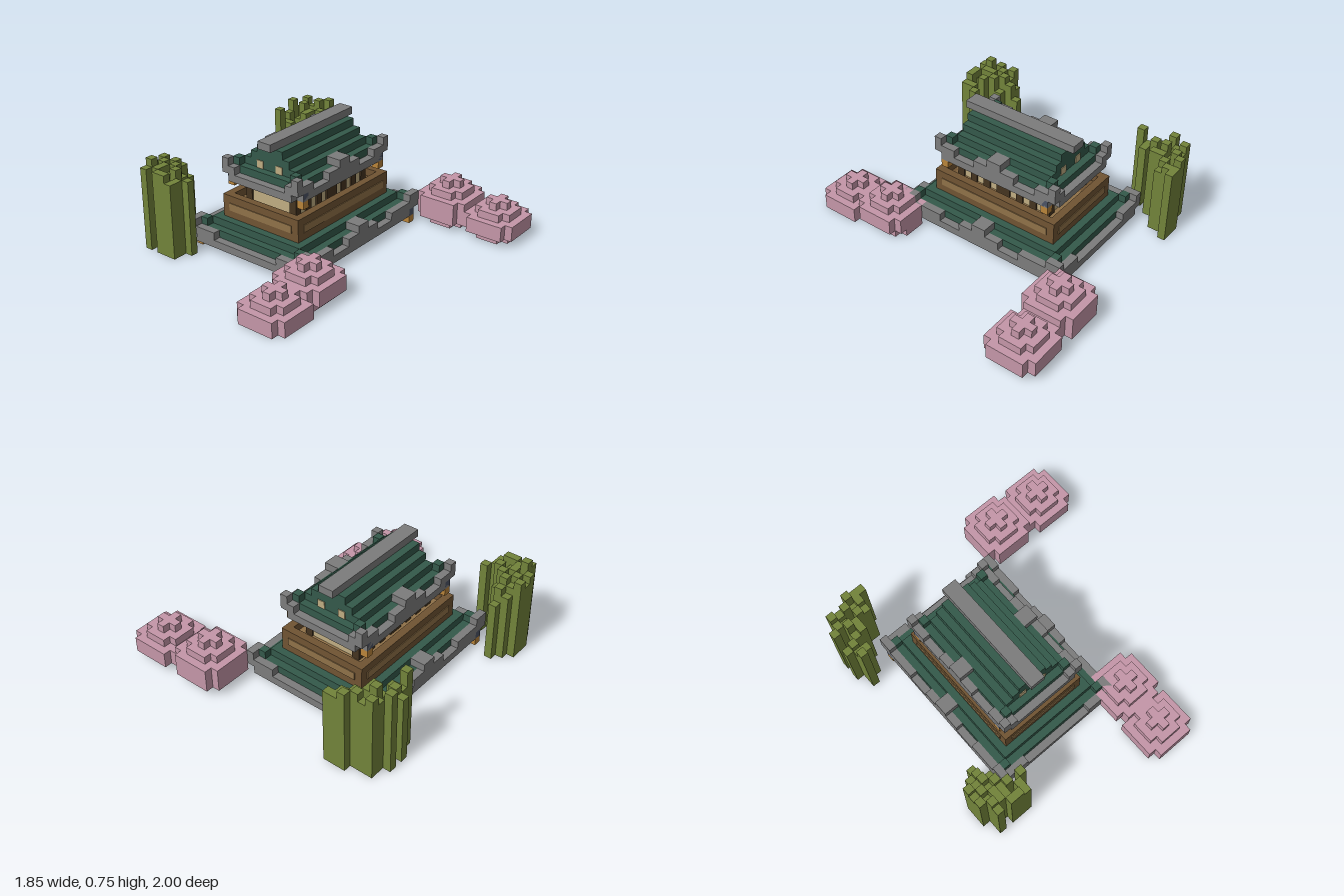
import * as THREE from 'three';

const V = 0.05; // edge of one block
const mat = (name, color) => Object.assign(new THREE.MeshStandardMaterial({ color }), { name });

export function createModel() {
  const M = {
    tile: mat('roof green', 0x34594a), stone: mat('stone grey', 0x7c7c7c),
    bamboo: mat('bamboo green', 0x72833a), dark: mat('dark timber', 0x453420),
    wood: mat('brown timber', 0x705433), tan: mat('tan timber', 0x8f7148),
    plaster: mat('cream plaster', 0xbfad82), lamp: mat('lamp orange', 0xb9843a),
    slate: mat('lamp cap slate', 0x4b5364), pink: mat('blossom pink', 0xc496a8),
  };
  const model = new THREE.Group();
  model.name = 'blockPavilion';

  // a group measured in whole blocks
  const blockGroup = (name, x = 0, z = 0) => {
    const g = new THREE.Group();
    g.name = name;
    g.scale.setScalar(V);
    g.position.set(x, 0, z);
    model.add(g);
    return g;
  };
  const block = (g, name, m, x0, x1, y0, y1, z0, z1) => {
    const mesh = new THREE.Mesh(new THREE.BoxGeometry(x1 - x0, y1 - y0, z1 - z0), m);
    mesh.position.set((x0 + x1) / 2, (y0 + y1) / 2, (z0 + z1) / 2);
    mesh.name = name;
    g.add(mesh);
  };
  const slab = (g, name, m, hx, hz, y0, y1) => block(g, name, m, -hx, hx, y0, y1, -hz, hz);
  // rectangular frame, w blocks wide
  const ring = (g, name, m, hx, hz, w, y0, y1) => {
    for (const s of [-1, 1]) {
      const a = s < 0 ? -hx : hx - w, b = s < 0 ? -hz : hz - w;
      block(g, name, m, a, a + w, y0, y1, -hz, hz);
      block(g, name, m, -hx + w, hx - w, y0, y1, b, b + w);
    }
  };
  // centred cube column of one block
  const post = (g, name, m, x, z, y0, y1) =>
    block(g, name, m, x - 0.5, x + 0.5, y0, y1, z - 0.5, z + 0.5);

  // wavy stone eaves with raised corners, lamps below them
  function eaves(g, hx, hz, base, cornerZ, dipX, cornerX) {
    for (const s of [-1, 1]) {
      // long sides: [from, to, bottom, top] away from the middle
      const long = [[0, 1, 0, 3], [1, 3, 0, 2], [3, 6, 0, 1], [6, cornerZ, 0, 2],
        [cornerZ, hz - 1, 0, 3], [hz - 1, hz, 1, 3]];
      const short = [[0, dipX, 0, 1], [dipX, cornerX, 0, 2], [cornerX, hx, 1, 3]];
      for (const t of [-1, 1]) {
        for (const [a, b, lo, hi] of long) {
          if (a === b) continue;
          const under = a >= hz - 2 ? 1 : lo;
          block(g, 'eaveStone', M.stone, Math.min(s * hx, s * (hx - 1)), Math.max(s * hx, s * (hx - 1)),
            base + under, base + hi, Math.min(t * a, t * b), Math.max(t * a, t * b));
        }
        for (const [a, b, lo, hi] of short) {
          block(g, 'eaveStone', M.stone, Math.min(t * a, t * b), Math.max(t * a, t * b),
            base + lo, base + hi, Math.min(s * hz, s * (hz - 1)), Math.max(s * hz, s * (hz - 1)));
        }
        post(g, 'lampCap', M.slate, s * (hx - 0.5), t * (hz - 1.5), base, base + 1);
        post(g, 'lamp', M.lamp, s * (hx - 0.5), t * (hz - 1.5), base - 1, base);
        post(g, 'cornerTile', M.tile, s * (hx - 1.5), t * (hz - 1.5), base + 1, base + 3);
      }
      block(g, 'eavePeak', M.stone, s < 0 ? 1 - hx : hx - 2, s < 0 ? 2 - hx : hx - 1, base + 1, base + 3, -1, 1);
    }
    ring(g, 'eaveSoffit', M.stone, hx - 1, hz - 1, 1, base, base + 1);
  }

  const hall = blockGroup('hall', -0.225, -0.1);

  // ground floor: walls, doors and verandah posts
  ring(hall, 'groundWall', M.tan, 5, 8, 1, 0, 1);
  ring(hall, 'groundPlaster', M.plaster, 5, 8, 1, 1, 3);
  ring(hall, 'groundBeam', M.wood, 6, 9, 2, 3, 4);
  for (const s of [-1, 1]) {
    block(hall, 'sideDoor', M.dark, s < 0 ? -5.1 : 3.9, s < 0 ? -3.9 : 5.1, 0, 1, -3, 3);
    for (const t of [-1, 1]) {
      for (const z of [9.5, 3.5]) post(hall, 'verandahPost', M.dark, s * 6.5, t * z, 0, 3);
      post(hall, 'verandahPost', M.dark, s * 2.5, t * 9.5, 0, 3);
      post(hall, 'wallPost', M.dark, s * 3.5, t * 7.6, 0, 3);
    }
  }

  // lower roof
  eaves(hall, 9, 12, 1, 10, 5, 8);
  ring(hall, 'lowerTiles', M.tile, 8, 11, 2, 2, 3);
  ring(hall, 'lowerTiles', M.tile, 7, 10, 2, 3, 4);

  // balcony with a pale panel on each side
  slab(hall, 'balconyFloor', M.wood, 6, 9, 4, 6);
  ring(hall, 'balconyRail', M.wood, 6, 9, 1, 6, 7);
  slab(hall, 'railPanel', M.tan, 5, 9.1, 5, 6);
  slab(hall, 'railPanel', M.tan, 6.1, 8, 5, 6);

  // upper storey
  slab(hall, 'upperWall', M.plaster, 3.8, 6.8, 6, 8);
  slab(hall, 'upperBeam', M.tan, 3.9, 6.9, 8, 10);
  for (const s of [-1, 1]) {
    for (const t of [-1, 1]) {
      for (const z of [6.5, 2.5]) post(hall, 'upperPost', M.dark, s * 3.5, t * z, 6, 9);
      for (const z of [4.5, 0.5]) post(hall, 'windowPost', M.dark, s * 3.5, t * z, 6, 8);
    }
  }

  // upper roof: stepped tiles, ridge and gable windows
  eaves(hall, 6, 9, 9, 8, 4, 5);
  slab(hall, 'upperTiles', M.tile, 5, 8, 10, 11);
  [4, 3, 2].forEach((hx, i) => slab(hall, 'upperTiles', M.tile, hx, 7, 11 + i, 12 + i));
  slab(hall, 'ridge', M.stone, 1, 8, 14, 15);
  for (const s of [-1, 1]) {
    for (const t of [-1, 1]) {
      block(hall, 'gableWindow', M.plaster, s * 1.5 - 0.5, s * 1.5 + 0.5, 11, 12, t * 7.05 - 0.05, t * 7.05 + 0.05);
    }
  }

  // bamboo: one letter per stalk, a = 1 block tall
  function bamboo(name, z, rows) {
    const g = blockGroup(name, -0.925, z);
    rows.forEach((row, k) => [...row].forEach((c, i) => {
      if (c !== '.') block(g, 'stalk', M.bamboo, i, i + 1, 0, c.charCodeAt(0) - 96, k, k + 1);
    }));
  }
  bamboo('frontBamboo', 0.35, ['..h....', '.ij....', 'kjki...', 'jkik...', 'kikjk.j', '.lkj.j.', '.k.kkj.']);
  bamboo('backBamboo', -0.95, ['....kjj', '.kjkij.', '.ji.ji.', 'k.kj...', '..ij...', 'ij.....', '.ii....', '.k.....']);

  // blossom clumps: rounded layers [width, depth] from the ground up
  function blossom(name, x, z, layers) {
    const g = blockGroup(name, x, z);
    layers.forEach(([w, d], y) => {
      const c = w > 3 ? 1 : 0.99;
      block(g, 'blossomLayer', M.pink, -w / 2, w / 2, y, y + 1, -d / 2 + c, d / 2 - c);
      block(g, 'blossomLayer', M.pink, -w / 2 + c, w / 2 - c, y, y + 1, -d / 2, d / 2);
    });
  }
  blossom('frontBlossomTall', 0.3, 0.525, [[5, 7], [7, 7], [7, 7], [5, 5], [3, 3]]);
  blossom('frontBlossomLow', 0.3, 0.825, [[7, 7], [7, 7], [5, 5], [3, 3]]);
  blossom('backBlossomTall', 0.4, -0.825, [[5, 5], [7, 7], [7, 7], [7, 7], [5, 5], [3, 3]]);
  blossom('backBlossomLow', 0.75, -0.825, [[5, 5], [7, 7], [7, 7], [5, 5], [3, 3]]);

  return model;
}
